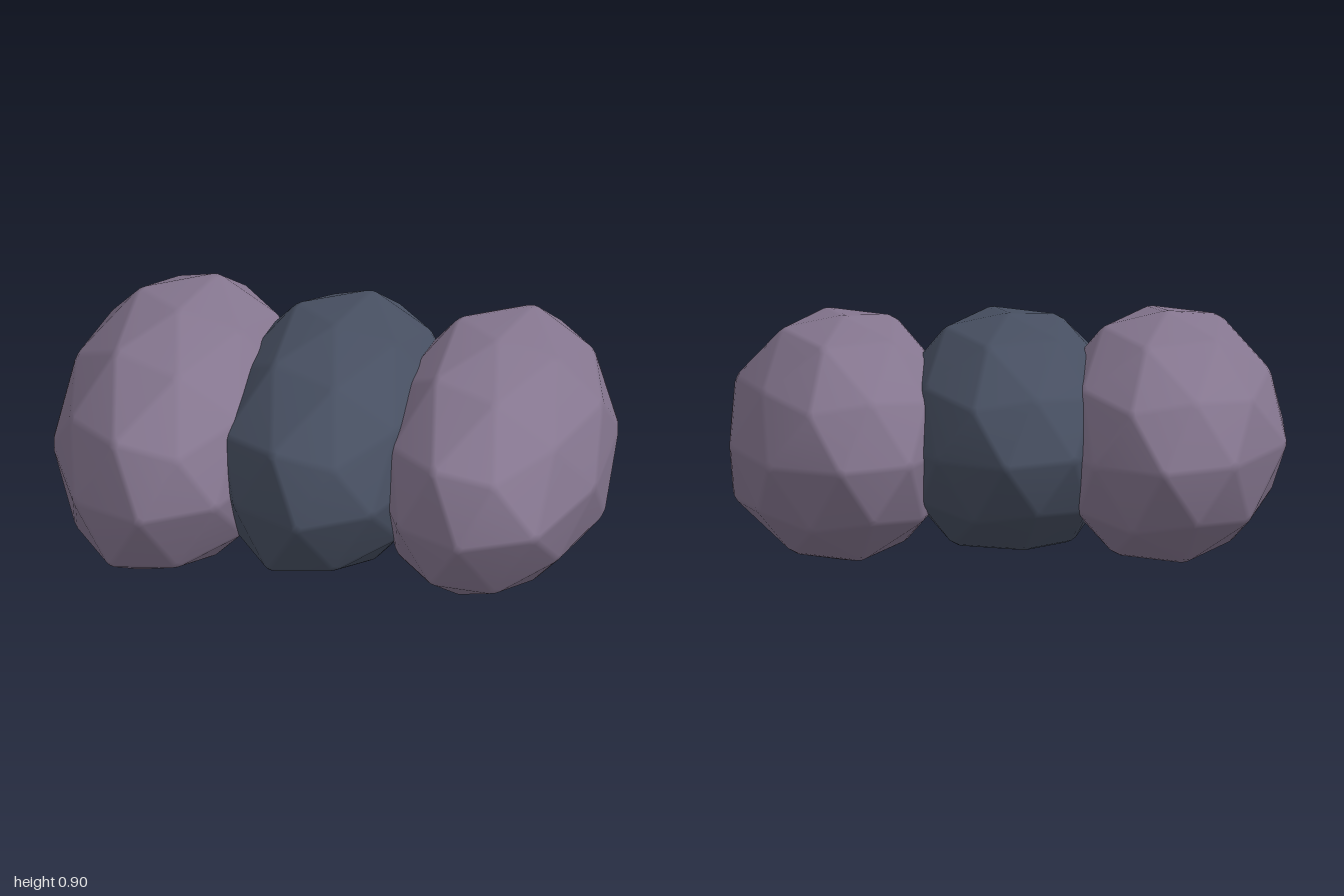
import * as THREE from 'three';
import { mergeVertices } from 'three/addons/utils/BufferGeometryUtils.js';
import { ConvexGeometry } from 'three/addons/geometries/ConvexGeometry.js';

const BEVEL = 0.15;

// Low-poly ball with a vertex on the y axis and ring points on the z axis
function unitBall() {
  const g = new THREE.IcosahedronGeometry(1, 1);
  g.rotateX(-Math.atan2((1 + Math.sqrt(5)) / 2, 1));
  g.rotateY(Math.PI / 2);
  return g;
}

// Stretched pod with softly bevelled corners: separate radii on either side of
// each axis, a lift for the ring around the top, and pulls that shift one
// corner, given as [direction x, y, z, shift x, y, z]
function makePod({ name, color, center, plus, minus, shoulder, pulls }) {
  const p = unitBall().attributes.position;
  const corners = [];
  for (let i = 0; i < p.count; i++) {
    const v = new THREE.Vector3().fromBufferAttribute(p, i);
    const c = new THREE.Vector3(...['x', 'y', 'z'].map(
      (a, j) => center[j] + v[a] * (v[a] > 0 ? plus[j] : minus[j])));
    if (v.y > 0.8 && v.y < 0.9) c.y += shoulder;
    for (const [x, y, z, ...shift] of pulls) {
      const d = new THREE.Vector3(x, y, z).normalize();
      if (d.dot(v) > 0.97) c.add(new THREE.Vector3(...shift));
    }
    corners.push(c);
  }

  // Shrink every face towards its middle, then wrap the result
  const inset = [];
  for (let i = 0; i < corners.length; i += 3) {
    const face = corners.slice(i, i + 3);
    const mid = new THREE.Vector3();
    face.forEach((c) => mid.addScaledVector(c, 1 / 3));
    face.forEach((c) => inset.push(c.clone().lerp(mid, BEVEL)));
  }
  const hull = new ConvexGeometry(inset);
  hull.deleteAttribute('normal');
  const g = mergeVertices(hull, 1e-4);
  g.computeVertexNormals();

  const mesh = new THREE.Mesh(g, new THREE.MeshStandardMaterial({ color }));
  mesh.name = name;
  return mesh;
}

export function createModel() {
  const group = new THREE.Group();
  group.name = 'podCluster';
  const mauve = 0x85768f;
  const slate = 0x474f61;

  group.add(
    makePod({
      name: 'rightPod', color: mauve, center: [-0.57, 0.46, 0],
      plus: [0.435, 0.445, 0.835], minus: [0.435, 0.465, 0.845], shoulder: 0.01,
      pulls: [
        [-0.951, 0, -0.309, -0.02, 0, 0.05],
        [-0.588, 0, 0.809, 0, 0, 0.03],
        [-0.894, -0.447, 0, 0.01, 0.01, 0],
        [-0.276, -0.447, 0.851, 0, -0.02, 0.03],
        [-0.263, 0.526, 0.809, 0, 0.01, 0.03],
      ],
    }),
    makePod({
      name: 'middlePod', color: slate, center: [0, 0.47, 0],
      plus: [0.425, 0.425, 0.815], minus: [0.425, 0.43, 0.785], shoulder: 0.015,
      pulls: [
        [-0.526, -0.851, 0, -0.01, -0.04, 0],
        [0.426, -0.851, 0.309, 0.01, -0.01, 0],
        [0.426, -0.851, -0.309, 0.01, -0.01, 0],
        [-0.724, 0.447, 0.526, -0.015, 0, 0.05],
        [-0.276, -0.447, 0.851, 0, -0.02, 0.03],
        [-0.263, 0.526, 0.809, 0, 0.01, 0.03],
      ],
    }),
    makePod({
      name: 'leftPod', color: mauve, center: [0.59, 0.45, 0],
      plus: [0.415, 0.435, 0.835], minus: [0.425, 0.455, 0.785], shoulder: 0.02,
      pulls: [
        [0.851, -0.526, 0, 0.04, 0.01, 0],
        [0.894, 0.447, 0, 0.015, 0.02, 0],
        [0.951, 0, 0.309, 0.01, 0, 0],
        [0.951, 0, -0.309, 0.01, 0, 0],
        [0.588, 0, 0.809, 0.02, 0, 0.03],
        [0.588, 0, -0.809, 0.02, 0, -0.02],
        [-0.588, 0, 0.809, 0.01, 0, 0.02],
        [0.276, 0.447, 0.851, 0, 0.02, 0.02],
        [-0.263, 0.526, 0.809, 0, 0.02, 0.04],
      ],
    }),
  );
  return group;
}
